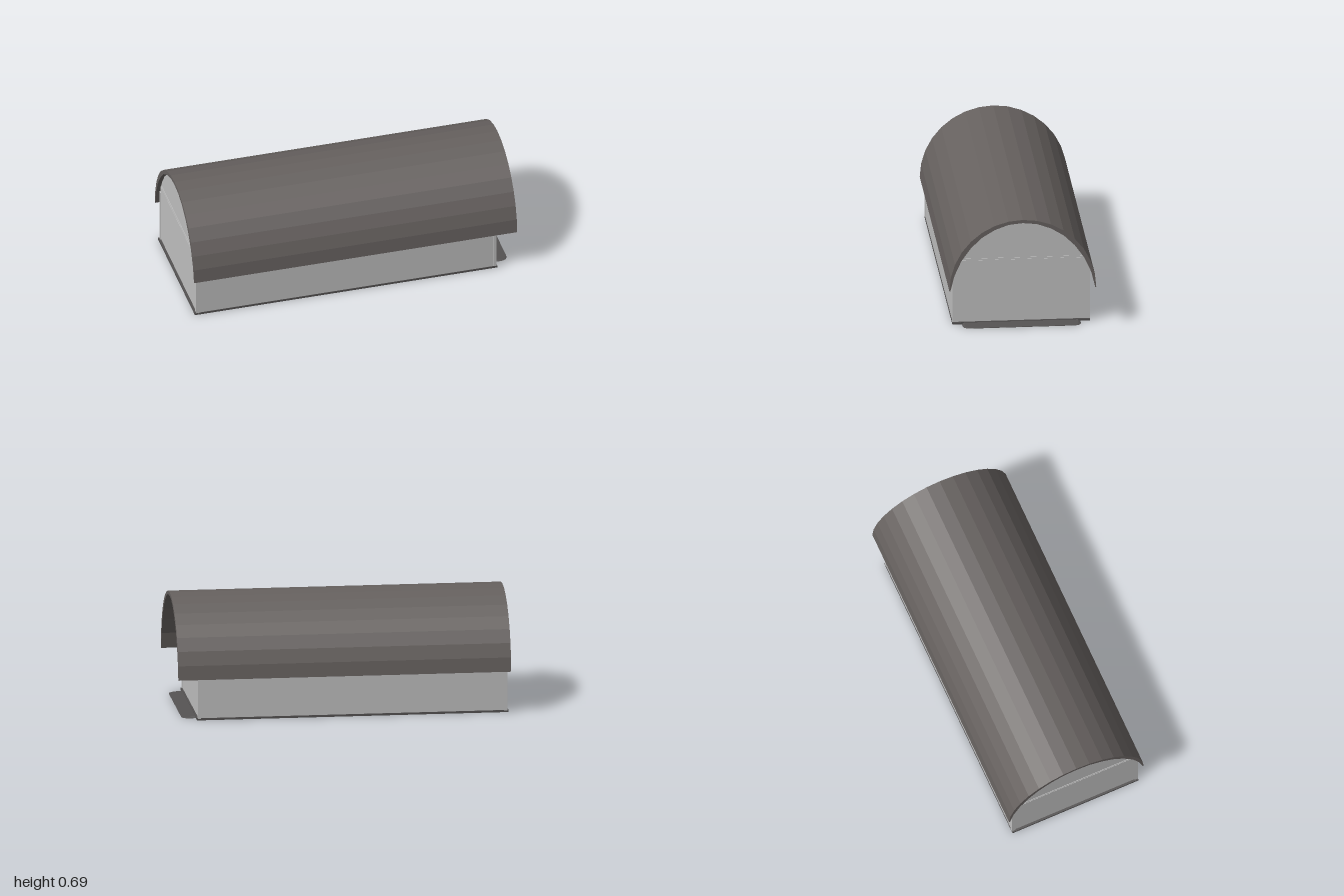
import * as THREE from 'three';

const material = (name, color) => new THREE.MeshStandardMaterial({ name, color });

export function createModel() {
  const model = new THREE.Group();
  const roofGrey = material('roofGrey', 0x66615f);
  const wallGrey = material('wallGrey', 0xc0c0c0);
  const baseGrey = material('baseGrey', 0x555353);

  const add = (name, geometry, mat, x = 0, y = 0, z = 0) => {
    const mesh = new THREE.Mesh(geometry, mat);
    mesh.name = name;
    mesh.position.set(x, y, z);
    model.add(mesh);
    return mesh;
  };
  const box = (name, mat, x0, x1, y0, y1, z0, z1) =>
    add(name, new THREE.BoxGeometry(x1 - x0, y1 - y0, z1 - z0), mat,
      (x0 + x1) / 2, (y0 + y1) / 2, (z0 + z1) / 2);

  // extrude a symmetric end profile along x
  const alongX = (points, x0, x1) => {
    const shape = new THREE.Shape(points.map(([z, y]) => new THREE.Vector2(z, y)));
    return new THREE.ExtrudeGeometry(shape, { depth: x1 - x0, bevelEnabled: false })
      .rotateY(Math.PI / 2).translate(x0, 0, 0);
  };
  // mirror half a profile, listed from the ridge outwards, to a full arch
  const arch = (half) => [
    ...half.slice().reverse(),
    ...half.slice(1).map(([z, y]) => [-z, y]),
  ];

  // barrel roof, thinning towards the eaves
  const outer = [];
  for (let i = 0; i <= 8; i++) {
    const a = (i * Math.PI) / 16;
    outer.push([0.44 * Math.sin(a), 0.253 + 0.44 * Math.cos(a)]);
  }
  const innerUpper = [[0, 0.673], [0.086, 0.664], [0.168, 0.634], [0.245, 0.587],
    [0.311, 0.523], [0.368, 0.443], [0.41, 0.35]];
  const inner = [...innerUpper, [0.434, 0.253]];
  add('roof', alongX([...arch(outer), ...arch(inner).reverse()], -1, 1), roofGrey);

  // walls with arched gables
  add('walls', alongX([[0.41, 0.01], ...arch(innerUpper), [-0.41, 0.01]], -0.975, 0.875), wallGrey);

  // corner posts
  for (const z of [-1, 1]) {
    const z0 = z > 0 ? 0.39 : -0.412;
    box('cornerPost', wallGrey, 0.86, 0.88, 0.01, 0.35, z0, z0 + 0.022);
    box('cornerPost', wallGrey, -0.98, -0.96, 0.01, 0.35, z0, z0 + 0.022);
  }

  // gable cross rails
  for (const [end, dir] of [[0.875, 1], [-0.975, -1]]) {
    for (const [y0, y1, out, half] of [[0.39, 0.401, 0.005, 0.385], [0.401, 0.412, 0.003, 0.38]]) {
      const tip = end + dir * out;
      box('gableRail', wallGrey, Math.min(end, tip), Math.max(end, tip), y0, y1, -half, half);
    }
  }

  // floor plate
  box('floorPlate', baseGrey, -0.988, 0.885, 0, 0.013, -0.412, 0.412);

  // sloping entrance ramp with rounded corners
  const r = 0.05, w = 0.355, x0 = 0.87, x1 = 0.968;
  const ramp = new THREE.Shape();
  ramp.moveTo(x0, -w);
  ramp.lineTo(x1 - r, -w);
  ramp.quadraticCurveTo(x1, -w, x1, -w + r);
  ramp.lineTo(x1, w - r);
  ramp.quadraticCurveTo(x1, w, x1 - r, w);
  ramp.lineTo(x0, w);
  const rampGeometry = new THREE.ExtrudeGeometry(ramp, { depth: 0.01, bevelEnabled: false, curveSegments: 6 });
  rampGeometry.rotateX(-Math.PI / 2);
  const p = rampGeometry.attributes.position;
  for (let i = 0; i < p.count; i++) {
    if (p.getY(i) > 0.005) {
      p.setY(i, 0.011 - 0.008 * (p.getX(i) - x0) / (x1 - x0));
      p.setZ(i, p.getZ(i) * 0.96);
    } else p.setY(i, 0.001);
  }
  rampGeometry.computeVertexNormals();
  add('entranceRamp', rampGeometry, baseGrey);

  return model;
}
